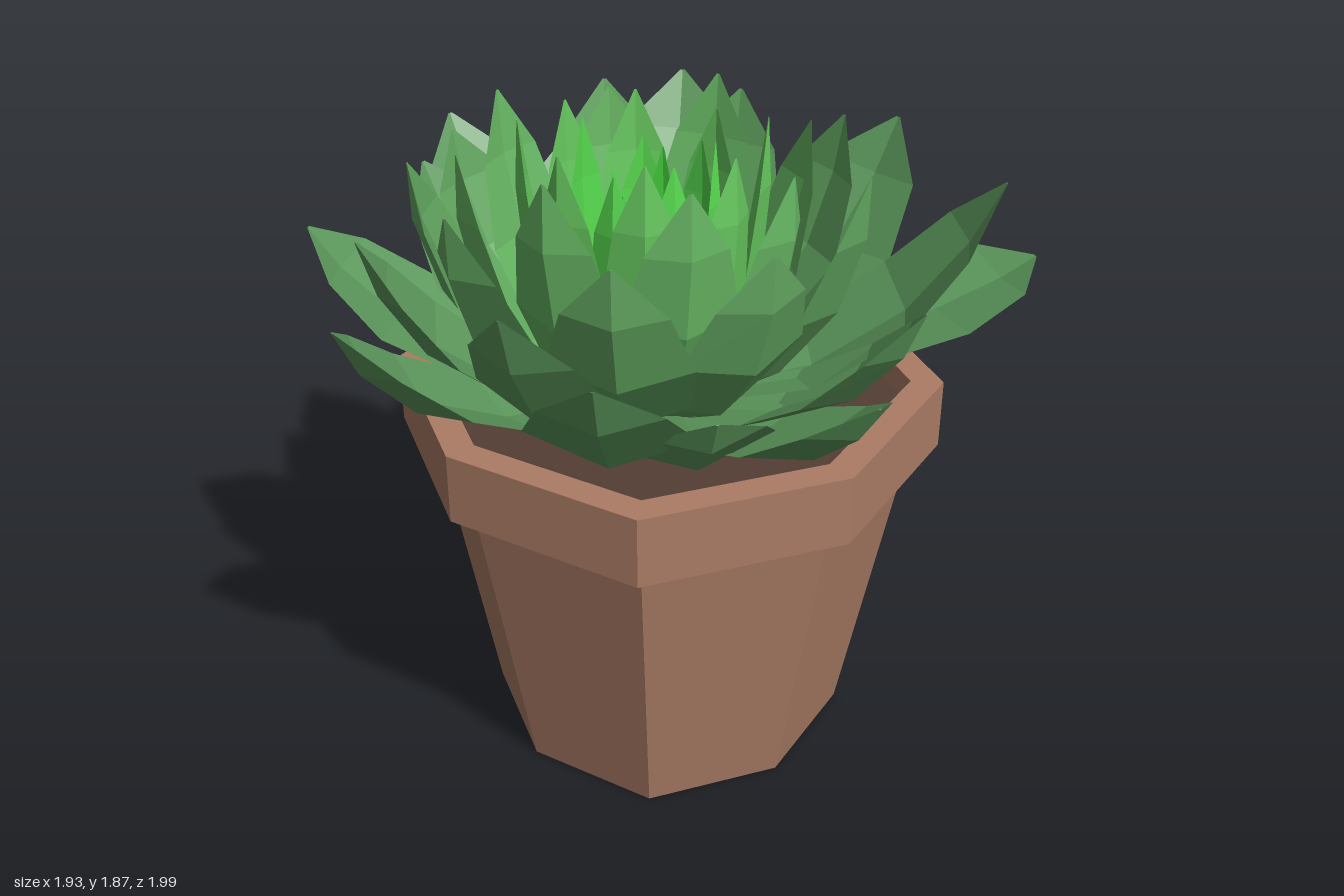
import * as THREE from 'three';

const flat = (color, side = THREE.FrontSide) =>
  new THREE.MeshStandardMaterial({ color, flatShading: true, side });

const CENTRE = new THREE.Vector3(0.03, 1.06, 0.08);

// Small repeatable noise source
function seeded(seed) {
  return () => {
    seed = (seed * 16807) % 2147483647;
    return seed / 2147483647 - 0.5;
  };
}

// Octagonal turned shape, its diagonal corners pushed out slightly
function octagon(profile) {
  const g = new THREE.LatheGeometry(profile.map(([r, y]) => new THREE.Vector2(r, y)), 8);
  const p = g.attributes.position;
  for (let i = 0; i < p.count; i++) {
    const x = p.getX(i), z = p.getZ(i);
    if (Math.abs(x) > 0.01 && Math.abs(z) > 0.01) p.setXYZ(i, x * 1.04, p.getY(i), z * 1.04);
  }
  g.computeVertexNormals();
  return g;
}

// Pointed leaf: four-sided sections swept along a curve that rises to the tip
function leafGeometry(tip, width, baseRadius, bend, lift, thickness) {
  const out = new THREE.Vector3(tip.x - CENTRE.x, 0, tip.z - CENTRE.z);
  const reach = out.length();
  out.normalize();
  const base = CENTRE.clone().addScaledVector(out, baseRadius);
  const mid = CENTRE.clone().addScaledVector(out, reach * bend);
  mid.y = THREE.MathUtils.lerp(base.y, tip.y, lift);
  const curve = new THREE.QuadraticBezierCurve3(base, mid, tip);
  const sections = [[0, 0.5], [0.3, 0.88], [0.6, 1], [0.84, 0.7], [1, 0.03]];
  const pos = [], index = [];
  for (const [t, w] of sections) {
    const c = curve.getPoint(t), T = curve.getTangent(t);
    const N = out.clone().multiplyScalar(-T.y).addScaledVector(new THREE.Vector3(0, 1, 0), T.dot(out));
    const S = N.clone().cross(T).normalize();
    const half = w * width / 2, cup = half * 0.2, keel = -thickness * w;
    for (const [s, n] of [[half, cup], [0, 0], [-half, cup], [0, keel]]) {
      const v = c.clone().addScaledVector(S, s).addScaledVector(N, n);
      pos.push(v.x, v.y, v.z);
    }
  }
  for (let i = 0; i < sections.length - 1; i++) {
    for (let j = 0; j < 4; j++) {
      const a = i * 4 + j, b = i * 4 + (j + 1) % 4;
      index.push(a, b, b + 4, a, b + 4, a + 4);
    }
  }
  const e = (sections.length - 1) * 4;
  index.push(0, 2, 1, 0, 3, 2, e, e + 1, e + 2, e, e + 2, e + 3);
  const g = new THREE.BufferGeometry();
  g.setAttribute('position', new THREE.Float32BufferAttribute(pos, 3));
  g.setIndex(index);
  const result = g.toNonIndexed();
  result.computeVertexNormals();
  return result;
}

export function createModel() {
  const model = new THREE.Group();
  model.name = 'pottedSucculent';
  const add = (parent, name, geometry, material) => {
    const m = new THREE.Mesh(geometry, material);
    m.name = name;
    parent.add(m);
  };

  // Pot with tapered body, overhanging rim and soil
  const pot = new THREE.Group();
  pot.name = 'pot';
  pot.position.set(0.07, 0, 0.03);
  model.add(pot);
  const clay = flat(0xab7c65, THREE.DoubleSide);
  add(pot, 'potBody', octagon([[0, 0], [0.5, 0], [0.665, 0.92]]), clay);
  add(pot, 'potRim', octagon([[0.65, 0.92], [0.737, 0.92], [0.737, 1.12], [0.65, 1.12], [0.64, 1.04]]), clay);
  add(pot, 'soil', octagon([[0.645, 1.06], [0, 1.06]]), flat(0x553e35, THREE.DoubleSide));

  const rosette = new THREE.Group();
  rosette.name = 'rosette';
  model.add(rosette);

  // Outer leaves, by tip position and width
  const outerTips = [
    [-0.97, 1.58, 0.04, 0.42], [0.96, 1.42, 0.12, 0.42], [-0.05, 1.5, 0.99, 0.44],
    [0.5, 1.32, -1.0, 0.52], [0.0, 1.62, -0.92, 0.5], [-0.48, 1.3, -0.84, 0.46],
    [-0.69, 1.48, 0.7, 0.44], [0.67, 1.56, 0.74, 0.44], [0.64, 1.68, -0.66, 0.48],
    [0.81, 1.51, -0.19, 0.42], [-0.82, 1.5, -0.33, 0.42], [-0.67, 1.65, -0.64, 0.48],
    [-0.76, 1.25, -0.55, 0.36], [0.75, 1.4, 0.44, 0.42], [-0.75, 1.55, 0.28, 0.42],
    [-0.28, 1.6, 0.78, 0.42], [0.35, 1.62, 0.77, 0.42],
  ];
  const outer = new THREE.Group();
  outer.name = 'outerLeaves';
  rosette.add(outer);
  const outerGreen = flat(0x5c985c);
  for (const [x, y, z, w] of outerTips) {
    const lift = y < 1.35 ? 0.3 : 0.08;
    add(outer, 'outerLeaf', leafGeometry(new THREE.Vector3(x, y, z), w, 0.16, 0.75, lift, 0.035), outerGreen);
  }

  // Inner rings grow steeper, narrower and brighter around an open centre
  const rings = [
    { name: 'middleLeaves', n: 9, r: 0.63, y: 1.73, w: 0.38, base: 0.16, bend: 0.9, turn: 0.1, color: 0x62a660 },
    { name: 'upperLeaves', n: 8, r: 0.46, y: 1.81, w: 0.32, base: 0.14, bend: 0.95, turn: 0.45, color: 0x68b864 },
    { name: 'crownLeaves', n: 8, r: 0.31, y: 1.85, w: 0.23, base: 0.14, bend: 1.0, turn: 0.15, color: 0x68ca60 },
    { name: 'innerLeaves', n: 7, r: 0.2, y: 1.77, w: 0.17, base: 0.12, bend: 1.1, turn: 0.5, color: 0x58dc50 },
    { name: 'heartLeaves', n: 4, r: 0.09, y: 1.71, w: 0.13, base: 0.02, bend: 1.15, turn: 0.2, color: 0x4ce644 },
  ];
  const rand = seeded(71);
  for (const k of rings) {
    const ring = new THREE.Group();
    ring.name = k.name;
    rosette.add(ring);
    const green = flat(k.color);
    for (let i = 0; i < k.n; i++) {
      const a = ((i + k.turn) / k.n) * Math.PI * 2 + rand() * 0.16;
      const r = k.r * (1 + rand() * 0.14);
      const tip = new THREE.Vector3(CENTRE.x + Math.sin(a) * r, k.y + rand() * 0.1, CENTRE.z + Math.cos(a) * r);
      add(ring, k.name.slice(0, -6) + 'Leaf', leafGeometry(tip, k.w, k.base, k.bend, 0.25, k.w * 0.1), green);
    }
  }
  return model;
}
